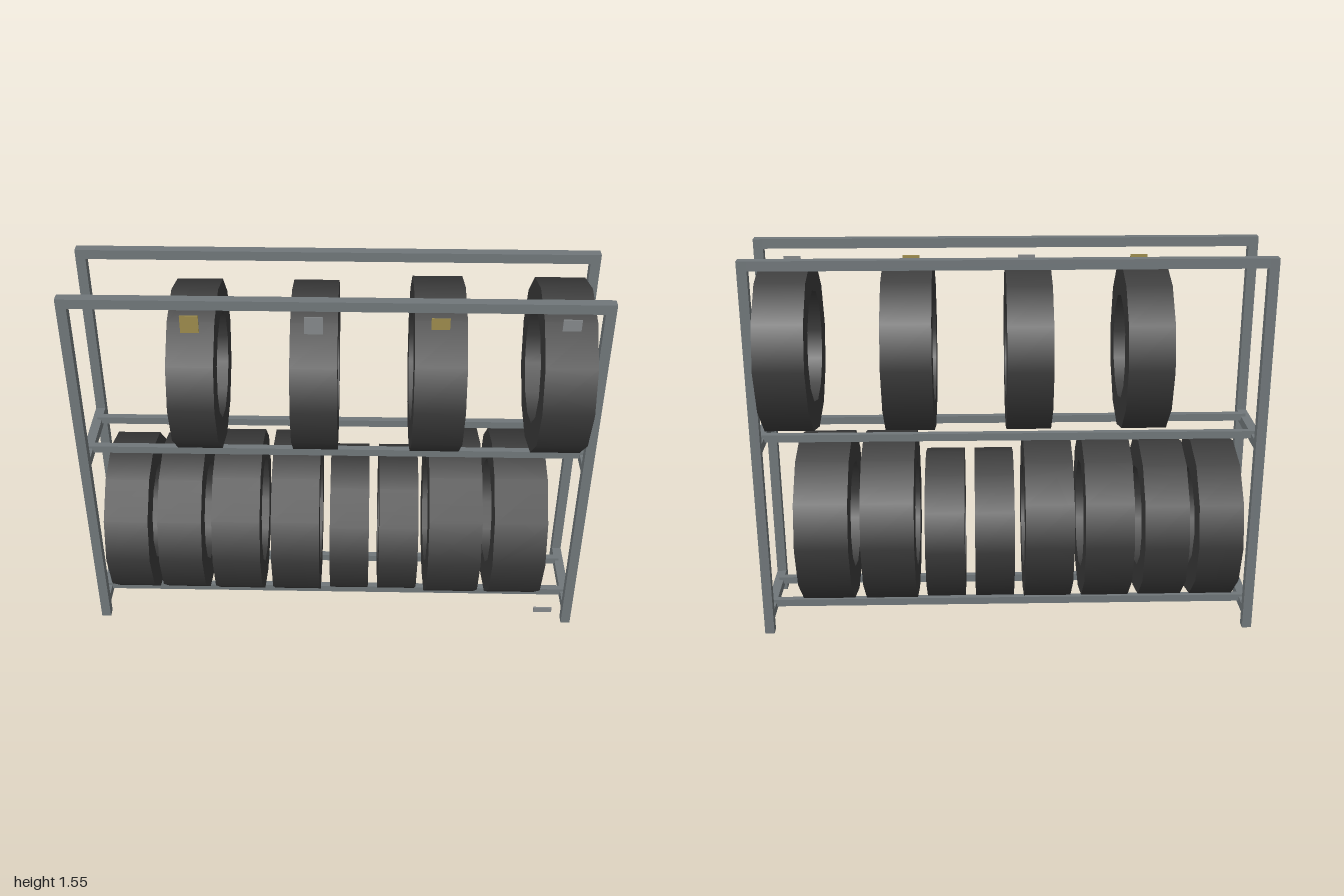
import * as THREE from 'three';
import { mergeGeometries } from 'three/addons/utils/BufferGeometryUtils.js';

const material = (name, color) => {
  const m = new THREE.MeshStandardMaterial({ color });
  m.name = name;
  return m;
};

// Twelve-sided tyre lying along x: smooth tread and bore, flat sidewalls
function tyreGeometry(outer, inner, width) {
  const h = width / 2;
  const corners = [[inner, -h], [outer, -h], [outer, h], [inner, h], [inner, -h]]
    .map(([r, y]) => new THREE.Vector2(r, y));
  const bands = [];
  for (let i = 0; i < 4; i++) {
    bands.push(new THREE.LatheGeometry([corners[i], corners[i + 1]], 12));
  }
  return mergeGeometries(bands).rotateZ(-Math.PI / 2);
}

export function createModel() {
  const model = new THREE.Group();
  model.name = 'tyreRack';
  const steel = material('steel', 0x70777a);
  const rubber = material('rubber', 0x3a3a3a);
  const gold = material('goldTag', 0x9c8b4c);
  const silver = material('silverTag', 0x85888a);

  const box = (parent, name, mat, size, pos) => {
    const mesh = new THREE.Mesh(new THREE.BoxGeometry(...size), mat);
    mesh.name = name;
    mesh.position.set(...pos);
    parent.add(mesh);
  };

  // Frame: posts, top rails, end crossbars and the rails that carry the tyres
  const frame = new THREE.Group();
  frame.name = 'frame';
  model.add(frame);
  for (const side of [-1, 1]) {
    for (const x of [-0.981, 0.981]) {
      box(frame, 'post', steel, [0.038, 1.55, 0.038], [x, 0.775, side * 0.19]);
    }
    box(frame, 'topRail', steel, [1.93, 0.038, 0.038], [0, 1.531, side * 0.19]);
    for (const y of [0.072, 0.802]) {
      box(frame, 'endCrossbar', steel, [0.038, 0.037, 0.35], [side * 0.981, y, 0]);
      box(frame, 'tyreRail', steel, [1.96, 0.03, 0.026], [0, y + 0.015, side * 0.1]);
    }
  }

  // Tyres: [centre x, width, outer radius, bore radius]
  const shelves = [
    { name: 'lowerTyre', base: 0.095, tyres: [
      [-0.829, 0.174, 0.3275, 0.207], [-0.617, 0.174, 0.3275, 0.207],
      [-0.392, 0.191, 0.3375, 0.222], [-0.157, 0.191, 0.3375, 0.222],
      [0.058, 0.156, 0.307, 0.202], [0.255, 0.156, 0.307, 0.202],
      [0.477, 0.209, 0.347, 0.219], [0.733, 0.209, 0.347, 0.219]] },
    { name: 'upperTyre', base: 0.826, tyres: [
      [-0.526, 0.174, 0.3275, 0.207], [-0.077, 0.174, 0.3275, 0.207],
      [0.384, 0.191, 0.3375, 0.222], [0.852, 0.191, 0.3375, 0.222]] },
  ];
  for (const { name, base, tyres } of shelves) {
    for (const [x, width, outer, inner] of tyres) {
      const tyre = new THREE.Mesh(tyreGeometry(outer, inner, width), rubber);
      tyre.name = name;
      tyre.position.set(x, base + outer, 0);
      model.add(tyre);
    }
  }

  // Price tags on the upper tyres, and a small plate at the foot of the rack
  [-0.528, -0.078, 0.381, 0.853].forEach((x, i) => {
    box(model, 'priceTag', i % 2 ? silver : gold, [0.068, 0.074, 0.005], [x, 1.441, 0.19]);
  });
  box(model, 'footPlate', silver, [0.076, 0.022, 0.008], [0.877, 0.075, 0.209]);

  return model;
}
